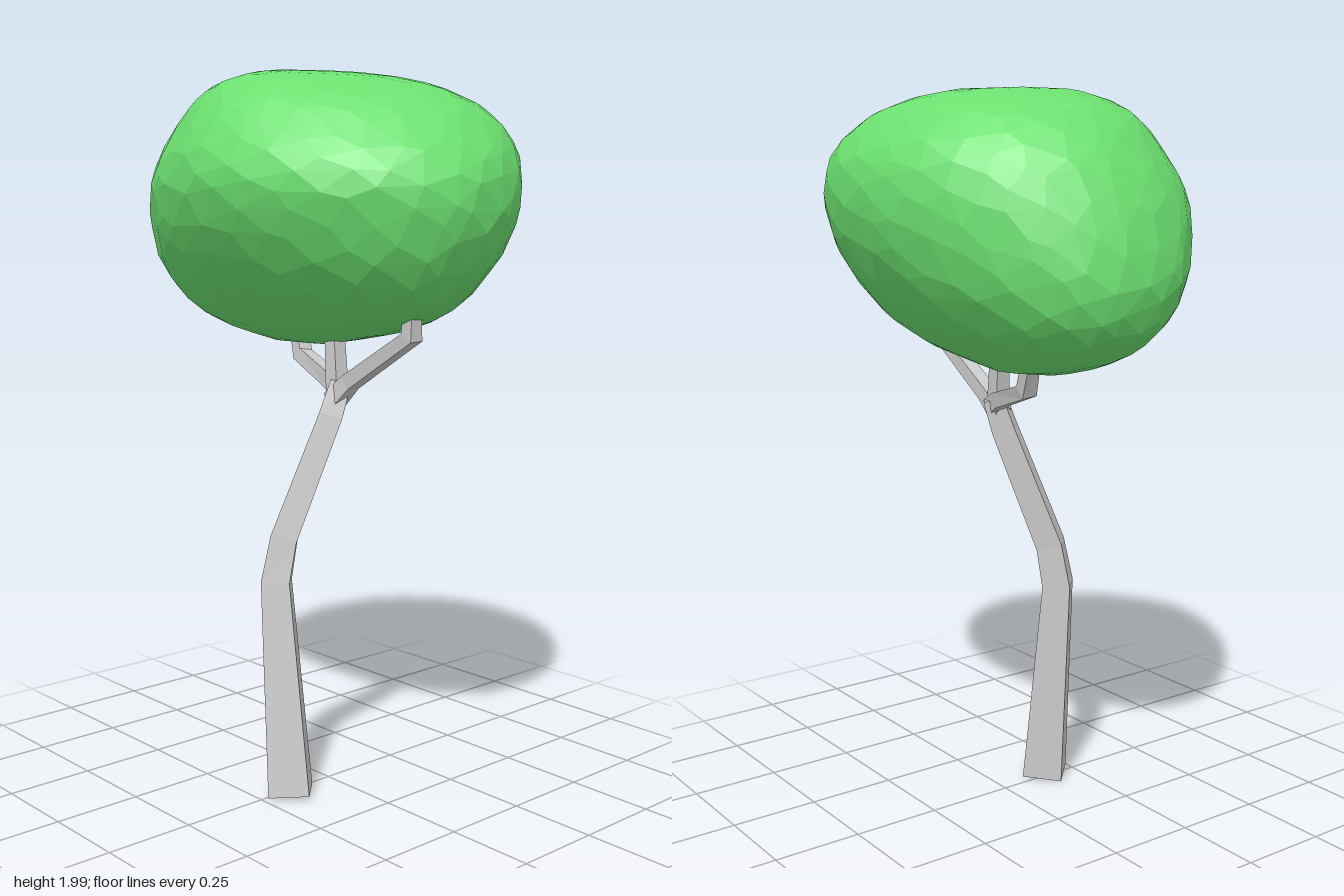
import * as THREE from 'three';
import { ConvexGeometry } from 'three/addons/geometries/ConvexGeometry.js';

const bark = new THREE.MeshStandardMaterial({ color: 0xcccccc, flatShading: true });
const leaf = new THREE.MeshStandardMaterial({ color: 0x6ce070, flatShading: true });

// Four-sided limb swept through [x, y, z, radius] stations, mitred at each bend
function limb(stations, phase) {
  const ref = new THREE.Vector3(0, 0, 1);
  const centres = stations.map(s => new THREE.Vector3(s[0], s[1], s[2]));
  const last = centres.length - 1;
  const verts = [], index = [];
  centres.forEach((c, k) => {
    const t = new THREE.Vector3();
    if (k > 0) t.add(c.clone().sub(centres[k - 1]).normalize());
    if (k < last) t.add(centres[k + 1].clone().sub(c).normalize());
    t.normalize();
    const u = t.clone().cross(ref).normalize();
    const v = t.clone().cross(u);
    for (let i = 0; i < 4; i++) {
      const a = phase + i * Math.PI / 2;
      const p = c.clone().addScaledVector(u, stations[k][3] * Math.cos(a))
        .addScaledVector(v, stations[k][3] * Math.sin(a));
      verts.push(p.x, p.y, p.z);
    }
  });
  for (let k = 0; k < last; k++) {
    for (let i = 0; i < 4; i++) {
      const a = k * 4 + i, b = k * 4 + (i + 1) % 4;
      index.push(a, b, b + 4, a, b + 4, a + 4);
    }
  }
  const e = last * 4;
  index.push(0, 2, 1, 0, 3, 2, e, e + 1, e + 2, e, e + 2, e + 3); // end caps
  const geo = new THREE.BufferGeometry();
  geo.setAttribute('position', new THREE.Float32BufferAttribute(verts, 3));
  geo.setIndex(index);
  geo.computeVertexNormals();
  return new THREE.Mesh(geo, bark);
}

// Small seeded generator, -0.5 to 0.5
function seeded(seed) {
  return () => {
    seed = (seed * 16807) % 2147483647;
    return seed / 2147483647 - 0.5;
  };
}

// Fullness of the crown's four diagonal corners: [low, middle, high]
const corners = {
  frontLeft: [0.06, -0.03, -0.1],
  frontRight: [0.08, 0.01, -0.03],
  backLeft: [0, 0, 0.06],
  backRight: [0.02, -0.03, 0]
};
function fullness(a, y) {
  const name = (Math.sin(a) > 0 ? 'front' : 'back') + (Math.cos(a) > 0 ? 'Left' : 'Right');
  const [low, middle, high] = corners[name];
  const wLow = 1 - THREE.MathUtils.smoothstep(y, 1.36, 1.62);
  const wHigh = THREE.MathUtils.smoothstep(y, 1.65, 1.93);
  return 1 + Math.abs(Math.sin(2 * a)) * (low * wLow + high * wHigh + middle * (1 - wLow - wHigh));
}

// Faceted crown: points spiralled over stacked ellipses, wrapped in a hull
function crownGeometry() {
  // height, x min, x max, z min, z max
  const levels = [
    [1.255, -0.22, -0.06, -0.1, 0.01],
    [1.28, -0.35, 0.1, -0.14, 0.07],
    [1.33, -0.475, 0.33, -0.22, 0.18],
    [1.41, -0.555, 0.465, -0.31, 0.28],
    [1.52, -0.59, 0.55, -0.395, 0.385],
    [1.64, -0.57, 0.583, -0.45, 0.45],
    [1.74, -0.53, 0.563, -0.46, 0.46],
    [1.83, -0.475, 0.495, -0.435, 0.425],
    [1.9, -0.41, 0.41, -0.375, 0.38],
    [1.95, -0.33, 0.29, -0.31, 0.32],
    [1.98, -0.24, 0.16, -0.23, 0.24],
    [2.0, -0.16, -0.02, -0.12, 0.12]
  ];
  const xs = new THREE.CatmullRomCurve3(levels.map(l => new THREE.Vector3(l[1], l[0], l[2])));
  const zs = new THREE.CatmullRomCurve3(levels.map(l => new THREE.Vector3(l[3], l[0], l[4])));
  const jitter = seeded(7);
  const points = [];
  const count = 480, golden = Math.PI * (3 - Math.sqrt(5));
  for (let i = 0; i < count; i++) {
    // spread more points over the wide middle
    const s = (i + 0.5) / count;
    const spread = s * 0.45 + 0.55 * Math.acos(1 - 2 * s) / Math.PI;
    const t = THREE.MathUtils.clamp(spread + 0.03 * jitter(), 0, 1);
    const px = xs.getPoint(t), pz = zs.getPoint(t);
    const a = i * golden + 0.12 * jitter();
    const f = fullness(a, px.y);
    points.push(new THREE.Vector3(
      (px.x + px.z) / 2 + f * Math.cos(a) * (px.z - px.x) / 2,
      px.y,
      (pz.x + pz.z) / 2 + f * Math.sin(a) * (pz.z - pz.x) / 2 + 0.08 * Math.cos(a) * (t - t * t)
    ));
  }
  return new ConvexGeometry(points);
}

export function createModel() {
  const tree = new THREE.Group();
  tree.name = 'tree';

  // Bent, tapering trunk with a corner facing forward
  const trunk = limb([
    [0.02, 0.011, 0.16, 0.081],
    [-0.036, 0.61, 0.161, 0.056],
    [-0.026, 0.73, 0.141, 0.052],
    [0.042, 1.07, 0.028, 0.046],
    [0.052, 1.16, 0.0, 0.04]
  ], 0);
  trunk.name = 'trunk';
  tree.add(trunk);

  // Three branches bending up into the crown
  const branches = {
    leftBranch: [[0.04, 1.11, 0.015, 0.035], [0.1, 1.165, 0.01, 0.03], [0.355, 1.305, 0.03, 0.029], [0.358, 1.39, 0.032, 0.025]],
    rightBranch: [[0.07, 1.13, 0.01, 0.035], [0.01, 1.16, -0.01, 0.031], [-0.19, 1.215, -0.07, 0.03], [-0.24, 1.32, -0.09, 0.025]],
    middleBranch: [[0.05, 1.12, 0.01, 0.032], [0.026, 1.29, 0.0, 0.028], [0.022, 1.36, -0.005, 0.025]]
  };
  for (const [name, stations] of Object.entries(branches)) {
    const branch = limb(stations, Math.PI / 4);
    branch.name = name;
    tree.add(branch);
  }

  const crown = new THREE.Mesh(crownGeometry(), leaf);
  crown.name = 'crown';
  tree.add(crown);
  return tree;
}
